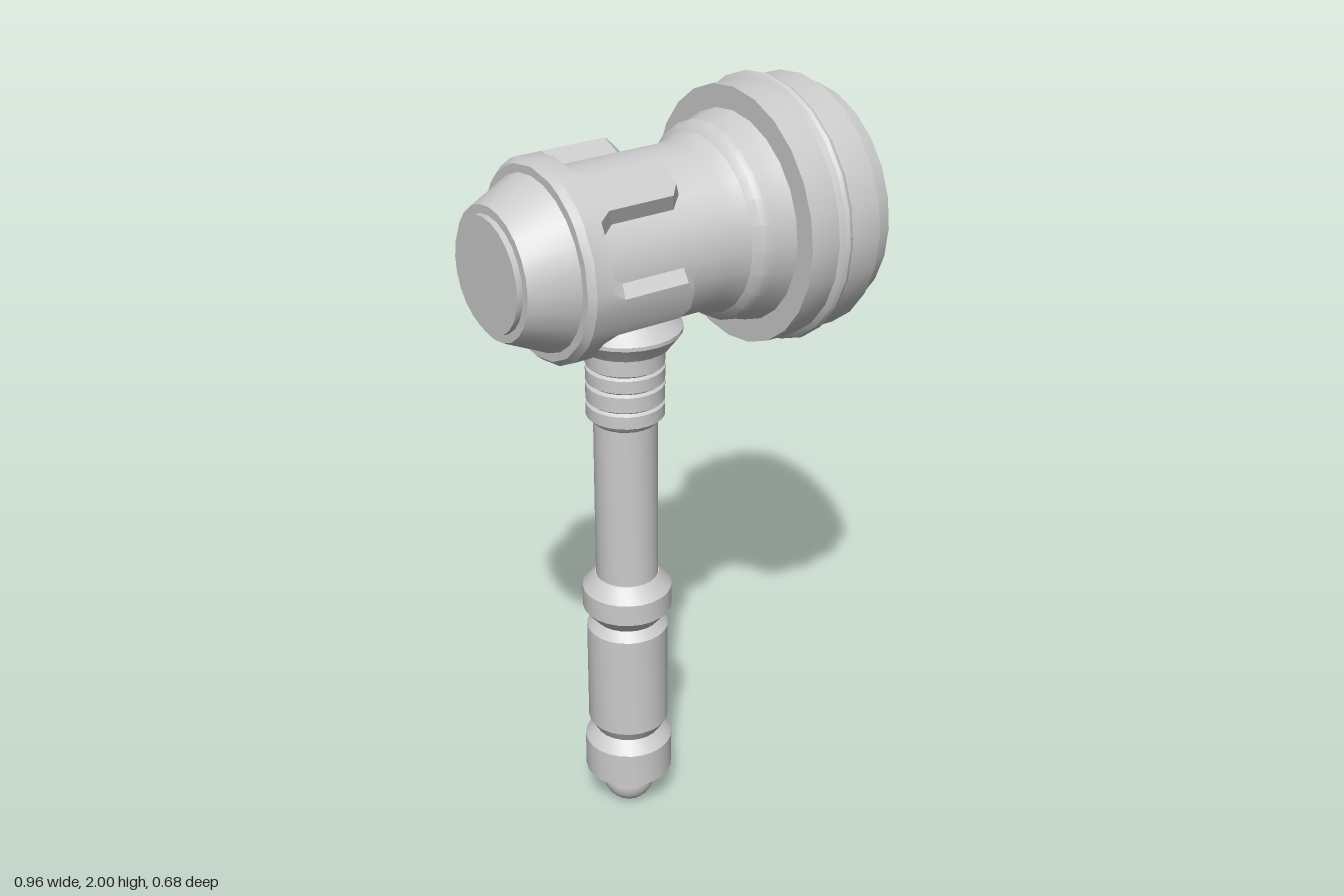
import * as THREE from 'three';
import { toCreasedNormals } from 'three/addons/utils/BufferGeometryUtils.js';

const HEAD_Y = 1.66;
const HANDLE_X = -0.1;
const grey = new THREE.MeshStandardMaterial({ color: 0xcccccc });

function part(name, geometry, crease = 0.45) {
  const mesh = new THREE.Mesh(toCreasedNormals(geometry, crease), grey);
  mesh.name = name;
  return mesh;
}

// Turned part; points are [radius, height] from bottom to top
function turned(points, sides) {
  return new THREE.LatheGeometry(points.map(([r, y]) => new THREE.Vector2(r, y)), sides);
}

// Turned part of the handle, standing on the handle axis
function handlePart(name, points, sides = 24) {
  const mesh = part(name, turned(points, sides));
  mesh.position.x = HANDLE_X;
  return mesh;
}

// Turned part of the head, lying along x
function headPart(name, points) {
  const mesh = part(name, turned(points, 24).rotateZ(-Math.PI / 2));
  mesh.position.y = HEAD_Y;
  return mesh;
}

// Bevelled sleeve wrapped round the head: a ring with four fingers reaching forward
function sleeveGeometry() {
  // Half a finger: [angle of top edge, its x, angle of foot edge, its x]
  const half = [
    [6, -0.065, 9, -0.04], [12, -0.085, 18, -0.07], [12, -0.26, 18, -0.24],
    [17, -0.29, 24, -0.265], [36, -0.29, 36, -0.265],
  ];
  const stations = [];
  for (const c of [-108, -36, 36, 108]) {
    for (const [a, x, b, fx] of [...half].reverse()) stations.push([c - a, x, c - b, fx]);
    for (const [a, x, b, fx] of half) stations.push([c + a, x, c + b, fx]);
  }
  // Plain ring under the head, closing the loop
  for (const a of [162, 180, 198, 216]) stations.push([a, -0.29, a, -0.265]);

  const point = (deg, x, r) => {
    const t = THREE.MathUtils.degToRad(deg);
    return new THREE.Vector3(x, r * Math.cos(t), r * Math.sin(t));
  };
  const rows = stations.map(([a, x, b, fx]) => [
    point(a, -0.352, 0.2), point(a, -0.352, 0.235), point(a, -0.335, 0.249),
    point(a, x, 0.249), point(b, fx, 0.203),
  ]);
  const positions = [];
  const tri = (a, b, c) => {
    if (new THREE.Triangle(a, b, c).getArea() > 1e-8) {
      for (const p of [a, b, c]) positions.push(p.x, p.y, p.z);
    }
  };
  for (let i = 0; i < rows.length - 1; i++) {
    for (let j = 0; j < 4; j++) {
      const [a, b, c, d] = [rows[i][j], rows[i + 1][j], rows[i + 1][j + 1], rows[i][j + 1]];
      tri(a, b, c);
      tri(a, c, d);
    }
  }
  const geometry = new THREE.BufferGeometry();
  geometry.setAttribute('position', new THREE.Float32BufferAttribute(positions, 3));
  return geometry;
}

export function createModel() {
  const group = new THREE.Group();
  group.name = 'hammer';

  // Head: tapered rear cap, waisted barrel and large striking drum
  group.add(headPart('rearCap', [
    [0, -0.48], [0.142, -0.48], [0.142, -0.465], [0.163, -0.465], [0.215, -0.35], [0.2, -0.34],
  ]));
  group.add(headPart('barrel', [
    [0.21, -0.35], [0.21, 0.07], [0.226, 0.115], [0.243, 0.13], [0.25, 0.145],
    [0.25, 0.165], [0.268, 0.225],
  ]));
  group.add(headPart('strikingDrum', [
    [0.24, 0.218], [0.324, 0.218], [0.324, 0.3], [0.336, 0.31], [0.34, 0.32], [0.336, 0.33],
    [0.324, 0.34], [0.324, 0.424], [0.305, 0.424], [0.292, 0.48], [0, 0.48],
  ]));
  const sleeve = part('fingeredSleeve', sleeveGeometry());
  sleeve.position.y = HEAD_Y;
  group.add(sleeve);

  // Collar under the head
  group.add(handlePart('headCollar', [
    [0, 1.39], [0.115, 1.395], [0.122, 1.405], [0.145, 1.435], [0.145, 1.445], [0.1, 1.49], [0.09, 1.52],
  ]));

  // Stacked rings at the top of the shaft
  const rings = [[0.08, 1.185], [0.09, 1.195]];
  for (const [y0, y1] of [[1.205, 1.238], [1.25, 1.29], [1.302, 1.335], [1.347, 1.39]]) {
    rings.push([0.092, y0 - 0.006], [0.1, y0], [0.1, y1], [0.092, y1 + 0.006]);
  }
  group.add(handlePart('neckRings', [...rings, [0.085, 1.4]]));

  // Shaft, guard, grip and pommel
  group.add(handlePart('shaft', [[0.082, 0.72], [0.082, 1.2]]));
  group.add(handlePart('guard', [
    [0.085, 0.6], [0.118, 0.64], [0.118, 0.7], [0.085, 0.738], [0.07, 0.738],
  ]));
  group.add(handlePart('grip', [
    [0.088, 0.25], [0.108, 0.283], [0.108, 0.578], [0.088, 0.602], [0.08, 0.61],
  ]));
  group.add(handlePart('pommel', [
    [0, 0.08], [0.07, 0.08], [0.118, 0.117], [0.118, 0.217], [0.088, 0.252], [0.07, 0.26],
  ]));
  const knob = part('endKnob', new THREE.SphereGeometry(0.071, 20, 14));
  knob.position.set(HANDLE_X, 0.071, 0);
  group.add(knob);

  return group;
}
